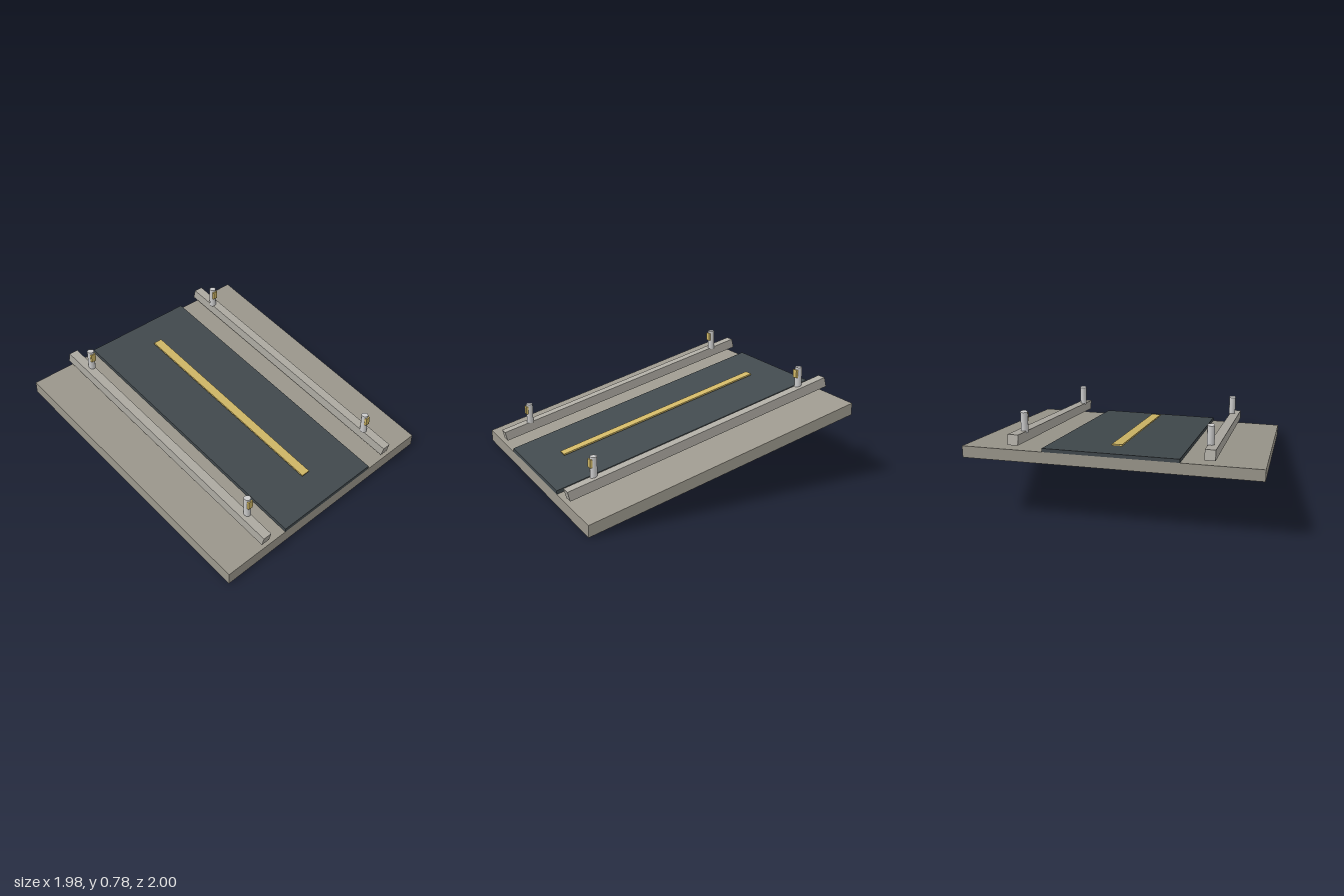
import * as THREE from 'three';

const SLOPE = 0.255; // rise per unit towards the back
const TILT = Math.atan(SLOPE);

const material = (color) => new THREE.MeshStandardMaterial({ color });

export function createModel() {
  const model = new THREE.Group();
  model.name = 'ramp';

  const stone = material(0x9c988d);
  const railGrey = material(0xaeaba3);
  const dark = material(0x41494d);
  const gold = material(0xd0b766);
  const metal = material(0xcccccc);

  const add = (name, geometry, mat, x, y, z, parent = model) => {
    const mesh = new THREE.Mesh(geometry, mat);
    mesh.name = name;
    mesh.position.set(x, y, z);
    parent.add(mesh);
    return mesh;
  };

  // Sloping slab whose end faces stay vertical
  const slab = (width, height, length) => {
    const g = new THREE.BoxGeometry(width, height, length);
    const p = g.attributes.position;
    for (let i = 0; i < p.count; i++) p.setY(i, p.getY(i) - p.getZ(i) * SLOPE);
    g.computeVertexNormals();
    return g;
  };

  // Deck and the dark runway lying on it
  add('deck', slab(1.98, 0.083, 1.98), stone, 0, 0.294, 0);
  add('runway', slab(0.9, 0.026, 1.98), dark, 0, 0.3485, 0);

  // Centre stripe, just above the runway
  add('centreStripe', new THREE.BoxGeometry(0.07, 0.011, 1.593), gold, 0, 0.3825, 0).rotation.x = TILT;

  // Side rails, each with two upright lamp posts
  const railGeometry = new THREE.BoxGeometry(0.07, 0.07, 2.046);
  const postGeometry = new THREE.CylinderGeometry(0.025, 0.025, 0.147, 12);
  const lampGeometry = new THREE.BoxGeometry(0.038, 0.058, 0.02);
  for (const side of [-1, 1]) {
    add(side > 0 ? 'leftRail' : 'rightRail', railGeometry, railGrey, side * 0.64, 0.405, 0).rotation.x = TILT;
    for (const [end, y, z] of [['front', 0.307, 0.793], ['back', 0.707, -0.793]]) {
      const post = new THREE.Group();
      post.name = end + (side > 0 ? 'LeftLampPost' : 'RightLampPost');
      post.position.set(side * 0.62, y, z);
      model.add(post);
      add('post', postGeometry, metal, 0, 0, 0, post);
      add('lamp', lampGeometry, gold, 0, 0.028, 0.022, post);
    }
  }
  return model;
}
